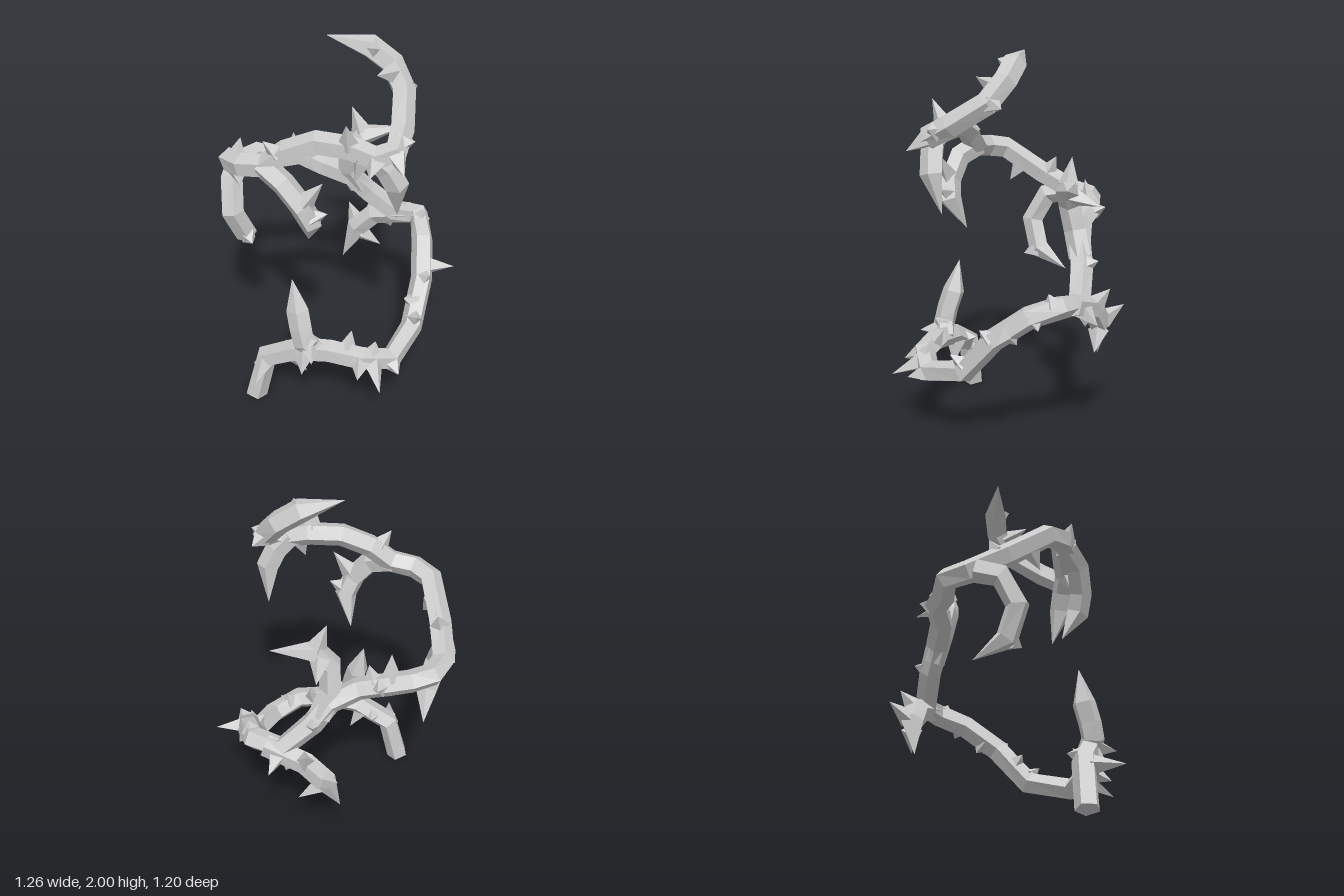
import * as THREE from 'three';

const SIDES = 5, R = 0.062;
const V = (p) => new THREE.Vector3(p[0], p[1], p[2]);

// Main stem: from the cut foot, around one spiral turn, to the pointed tip
const mainStem = [
  [-0.42, 0.01, 0.35], [-0.357, 0.27, 0.35], [-0.17, 0.38, 0.4], [0, 0.41, 0.43], [0.17, 0.39, 0.45],
  [0.32, 0.34, 0.38], [0.42, 0.4, 0.16], [0.46, 0.6, -0.01], [0.45, 0.73, -0.19], [0.42, 0.79, -0.35],
  [0.28, 0.77, -0.41], [0.12, 0.91, -0.39], [0.03, 1.02, -0.36], [-0.12, 1.09, -0.34], [-0.25, 1.13, -0.37],
  [-0.38, 1.12, -0.335], [-0.49, 1.15, -0.325], [-0.555, 1.16, -0.22], [-0.555, 1.26, -0.03],
  [-0.525, 1.4, 0.18], [-0.45, 1.42, 0.26], [-0.33, 1.44, 0.29], [-0.22, 1.53, 0.3], [-0.07, 1.595, 0.31],
  [0.1, 1.59, 0.34], [0.22, 1.56, 0.37], [0.31, 1.59, 0.35], [0.33, 1.65, 0.24], [0.325, 1.765, 0.05],
  [0.26, 1.87, -0.025], [0.15, 1.945, -0.045], [-0.06, 1.995, -0.045],
];

// Side shoots, each ending in a point
const shoots = {
  lowerFrontShoot: [[-0.06, 0.39, 0.41], [-0.135, 0.46, 0.43], [-0.15, 0.54, 0.415], [-0.17, 0.64, 0.385], [-0.2, 0.81, 0.36]],
  lowerBackShoot: [[0.36, 0.78, -0.39], [0.16, 0.71, -0.46], [0.06, 0.6, -0.48], [-0.02, 0.4, -0.46]],
  middleBackShoot: [[0.08, 0.95, -0.38], [0.02, 1.08, -0.34], [0.02, 1.22, -0.31], [0.1, 1.31, -0.31], [0.32, 1.35, -0.35]],
  rightDroopingShoot: [[-0.57, 1.16, -0.19], [-0.58, 1.13, -0.06], [-0.565, 0.98, 0.02], [-0.51, 0.82, -0.03], [-0.48, 0.72, -0.19]],
  frontDroopingShoot: [[-0.34, 1.44, 0.29], [-0.23, 1.39, 0.365], [-0.14, 1.28, 0.39], [-0.095, 1.18, 0.375], [-0.12, 1.02, 0.29]],
  leftDroopingShoot: [[0.2, 1.57, 0.36], [0.27, 1.5, 0.35], [0.32, 1.4, 0.34], [0.325, 1.2, 0.29]],
};

// Thorn tips; each thorn grows from the nearest point of the vine
const thornTips = [
  // lower front run
  [-0.38, 0.25, 0.55], [-0.14, 0.3, 0.51], [-0.08, 0.42, 0.56], [-0.13, 0.215, 0.38], [-0.25, 0.34, 0.28],
  [-0.06, 0.5, 0.46], [0.11, 0.5, 0.36], [0.28, 0.29, 0.6], [0.16, 0.34, 0.57], [0.37, 0.32, 0.48], [0.24, 0.47, 0.4],
  // rising left side
  [0.45, 0.5, 0.22], [0.37, 0.55, 0.12], [0.5, 0.66, 0.05], [0.63, 0.64, -0.08], [0.45, 0.58, -0.13],
  [0.5, 0.68, -0.25], [0.445, 0.86, -0.29], [0.35, 0.68, -0.52],
  // lower back shoot
  [0, 0.69, -0.6], [0.16, 0.82, -0.55], [0.2, 0.48, -0.48], [0.26, 0.64, -0.44],
  // back run
  [0.12, 0.95, -0.48], [-0.28, 1.29, -0.33], [-0.2, 1.16, -0.46], [-0.17, 1.22, -0.32],
  // middle back shoot
  [0.04, 1.47, -0.32], [0.1, 1.23, -0.48],
  // right side and drooping shoots
  [-0.53, 1.36, -0.12], [-0.49, 1.22, 0.14], [-0.5, 1.27, -0.03], [-0.46, 0.8, 0.05],
  [-0.03, 1.43, 0.41], [-0.01, 1.25, 0.4],
  // upper front run
  [-0.33, 1.6, 0.33], [0.08, 1.75, 0.41], [0.12, 1.43, 0.38], [0.2, 1.51, 0.48], [0.4, 1.64, 0.33],
  [0.36, 1.52, 0.46],
  // top hook
  [0.2, 1.88, 0.14], [0.39, 1.75, -0.04], [0.18, 1.97, 0.035],
];

// Thorns that lean along the vine: index of the tip above and its own root
const leaningRoots = { 21: [0.06, 0.58, -0.48], 28: [0.07, 1.28, -0.31], 33: [-0.14, 1.29, 0.39] };

// Sweeps a five-sided section along a path; the last point is a sharp tip
function vineGeometry(pts) {
  const n = pts.length, pos = [], idx = [];
  const u = new THREE.Vector3(1, 0, 0);
  pts.forEach((p, i) => {
    const back = p.clone().sub(pts[Math.max(i - 1, 0)]).normalize();
    const ahead = pts[Math.min(i + 1, n - 1)].clone().sub(p).normalize();
    const t = back.add(ahead).normalize();
    u.addScaledVector(t, -u.dot(t)).normalize();
    const b = t.clone().cross(u);
    const r = i === n - 1 ? 0.001 : R;
    for (let j = 0; j < SIDES; j++) {
      const a = (j / SIDES) * Math.PI * 2;
      const q = p.clone().addScaledVector(u, r * Math.cos(a)).addScaledVector(b, r * Math.sin(a));
      pos.push(q.x, q.y, q.z);
    }
  });
  for (let i = 0; i < n - 1; i++) {
    for (let j = 0; j < SIDES; j++) {
      const k = (j + 1) % SIDES, a = i * SIDES + j, b = i * SIDES + k;
      idx.push(a, b, b + SIDES, a, b + SIDES, a + SIDES);
    }
  }
  for (let j = 1; j < SIDES - 1; j++) idx.push(0, j + 1, j); // cut end
  const g = new THREE.BufferGeometry();
  g.setAttribute('position', new THREE.Float32BufferAttribute(pos, 3));
  g.setIndex(idx);
  const flat = g.toNonIndexed();
  flat.computeVertexNormals();
  return flat;
}

// Point of the vine paths closest to a given tip
function nearestOnPaths(tip, paths) {
  const line = new THREE.Line3(), near = new THREE.Vector3(), root = new THREE.Vector3();
  let best = Infinity;
  for (const pts of paths) {
    for (let i = 0; i < pts.length - 1; i++) {
      line.set(pts[i], pts[i + 1]).closestPointToPoint(tip, true, near);
      const d = near.distanceTo(tip);
      if (d < best) { best = d; root.copy(near); }
    }
  }
  return root;
}

export function createModel() {
  const group = new THREE.Group();
  group.name = 'thornyVine';
  const material = new THREE.MeshStandardMaterial({ color: 0xcccccc, flatShading: true });
  const add = (geometry, name) => {
    const mesh = new THREE.Mesh(geometry, material);
    mesh.name = name;
    group.add(mesh);
    return mesh;
  };

  // Stem and shoots
  const paths = [];
  for (const [name, list] of Object.entries({ mainStem, ...shoots })) {
    const pts = list.map(V);
    paths.push(pts);
    add(vineGeometry(pts), name);
  }

  // Thorns: four-sided spikes pointing away from the vine
  const up = new THREE.Vector3(0, 1, 0);
  thornTips.map(V).forEach((tip, i) => {
    const root = leaningRoots[i] ? V(leaningRoots[i]) : nearestOnPaths(tip, paths);
    const dir = tip.clone().sub(root).normalize();
    root.addScaledVector(dir, 0.025);
    const thorn = add(new THREE.ConeGeometry(0.055, root.distanceTo(tip), 4), 'thorn');
    thorn.position.copy(root).add(tip).multiplyScalar(0.5);
    thorn.quaternion.setFromUnitVectors(up, dir);
  });

  return group;
}
